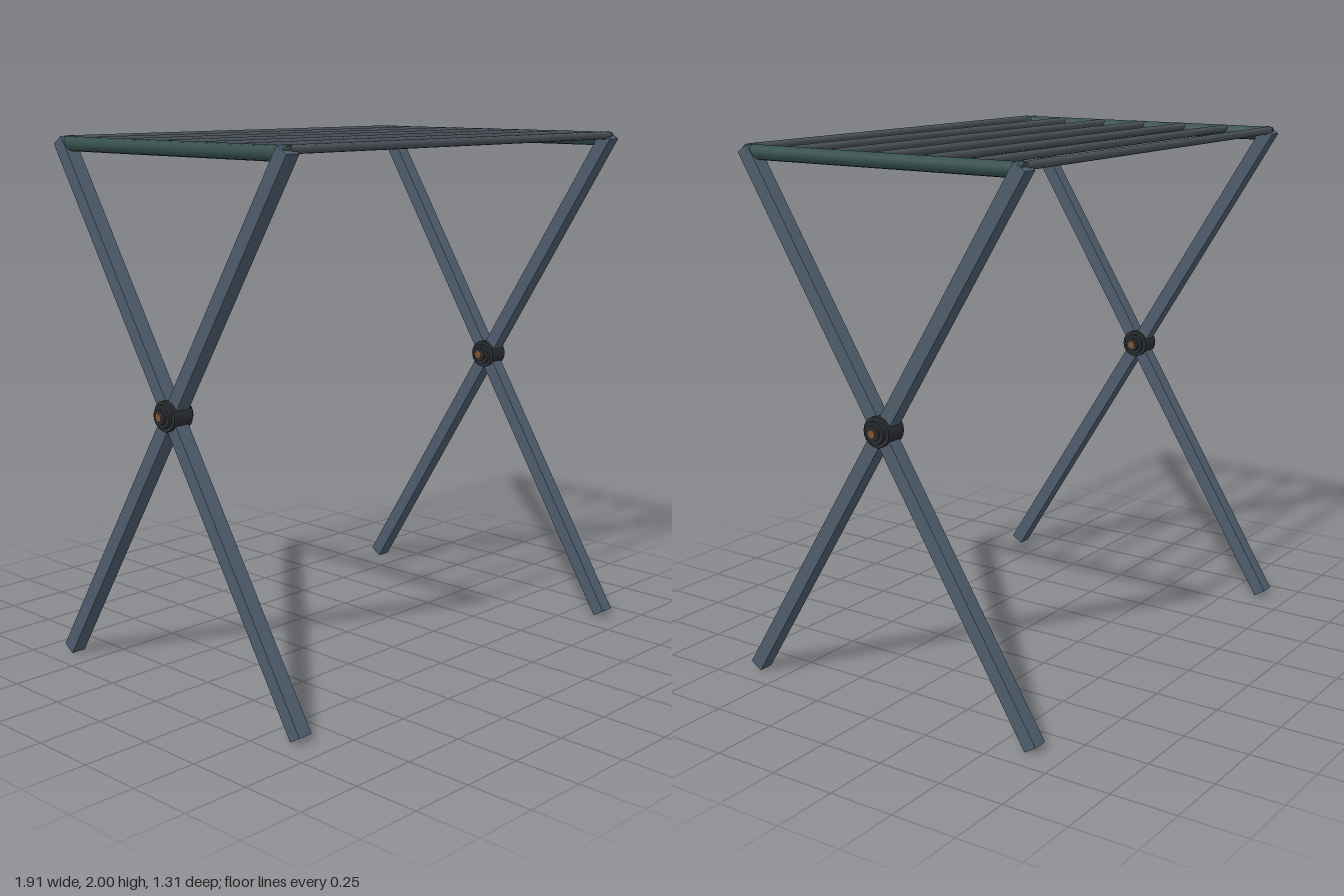
import * as THREE from 'three';

const mat = (name, color) => {
  const m = new THREE.MeshStandardMaterial({ color });
  m.name = name;
  return m;
};

export function createModel() {
  const group = new THREE.Group();
  const steel = mat('blue grey steel', 0x4e5c6b);
  const green = mat('dark green', 0x36504c);
  const grey = mat('rung grey', 0x4a5159);
  const black = mat('black plastic', 0x2a2d31);
  const copper = mat('copper', 0x7a5238);

  const add = (parent, name, geometry, material, x, y, z) => {
    const mesh = new THREE.Mesh(geometry, material);
    mesh.name = name;
    mesh.position.set(x, y, z);
    parent.add(mesh);
    return mesh;
  };
  // Round bar lying along x
  const barX = (r, length, sides = 16) =>
    new THREE.CylinderGeometry(r, r, length, sides).rotateZ(Math.PI / 2);

  // Crossed legs run from the foot up to the opposite end of the rail
  const foot = new THREE.Vector2(0.632, 0.015);
  const head = new THREE.Vector2(-0.59, 1.985);
  const legLength = foot.distanceTo(head);
  const tilt = Math.atan2(head.x - foot.x, head.y - foot.y);
  const legGeometry = new THREE.BoxGeometry(0.058, legLength, 0.053);
  const railGeometry = new THREE.CylinderGeometry(0.027, 0.027, 1.19, 12).rotateX(Math.PI / 2);

  for (const side of [-1, 1]) {
    const frame = new THREE.Group();
    frame.name = side > 0 ? 'leftFrame' : 'rightFrame';
    frame.position.x = side * 0.886;
    group.add(frame);

    for (const dir of [1, -1]) {
      const leg = add(frame, dir > 0 ? 'frontFootLeg' : 'backFootLeg', legGeometry, steel,
        0, 1, dir * (foot.x + head.x) / 2);
      leg.rotation.x = dir * tilt;
    }
    add(frame, 'topRail', railGeometry, green, 0, 1.971, 0);

    // Stepped pivot joint with a bolt through it
    const pivot = new THREE.Group();
    pivot.name = 'pivot';
    pivot.position.y = 1.04;
    frame.add(pivot);
    add(pivot, 'hub', barX(0.056, 0.084, 20), black, 0, 0, 0);
    add(pivot, 'washer', barX(0.042, 0.112, 20), black, 0, 0, 0);
    add(pivot, 'cap', barX(0.028, 0.132, 20), black, 0, 0, 0);
    add(pivot, 'bolt', barX(0.016, 0.142, 12), copper, 0, 0, 0);
  }

  // Seven hanging rungs between the rails
  const rungGeometry = barX(0.0155, 1.76, 12);
  for (let i = -3; i <= 3; i++) {
    add(group, 'rung', rungGeometry, grey, 0, 1.9845, i * 0.196);
  }
  return group;
}
